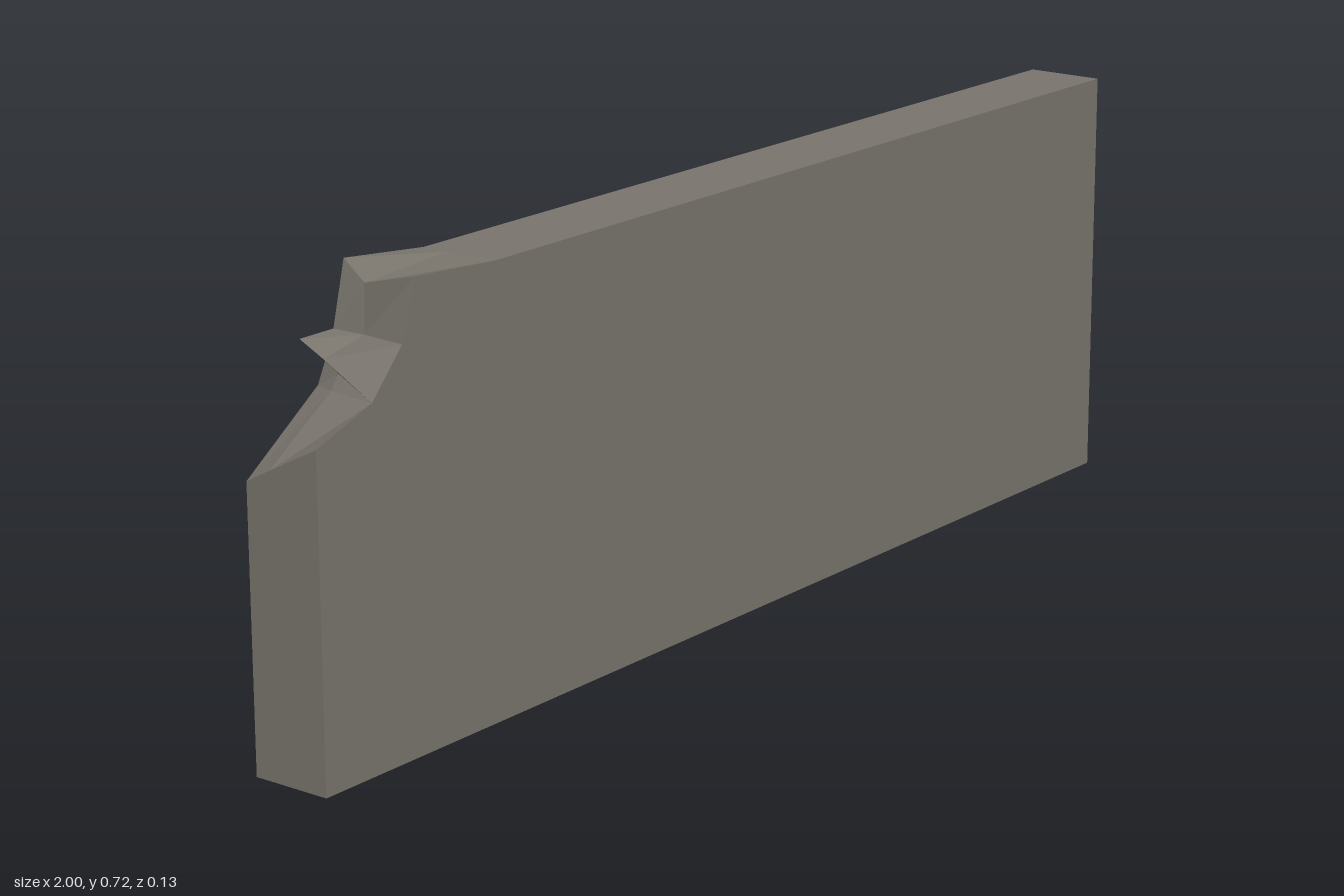
import * as THREE from 'three';

const DEPTH = 0.067;

// Outline over the top of the slab, from the bottom of the broken end to the intact end
const outline = (chip) => [[-1, 0], ...chip, [-0.62, 0.7], [1, 0.7], [1, 0]];

const frontLine = outline([
  [-1, 0.51], [-0.885, 0.55], [-0.885, 0.55], [-0.885, 0.55], [-0.82, 0.62], [-0.79, 0.712],
]);
const middleLine = outline([
  [-1, 0.464], [-0.872, 0.549], [-0.855, 0.57], [-0.885, 0.598], [-0.8, 0.615], [-0.797, 0.69],
]);
const backLine = outline([
  [-1, 0.44], [-0.85, 0.545], [-0.83, 0.585], [-0.885, 0.62], [-0.815, 0.62], [-0.79, 0.718],
]);

// Flat side face from an outline
function sideFace(line, flip) {
  const shape = new THREE.Shape(line.map(([x, y]) => new THREE.Vector2(x * flip, y)));
  const geometry = new THREE.ShapeGeometry(shape);
  if (flip < 0) geometry.rotateY(Math.PI);
  return geometry.translate(0, 0, DEPTH * flip);
}

// Faceted band joining the outlines across the thickness
function rimBand(rows) {
  const positions = [];
  for (let r = 0; r < rows.length - 1; r++) {
    const [near, far] = [rows[r], rows[r + 1]];
    const point = (row, i) => [...row.line[i], row.z];
    for (let i = 0; i < near.line.length - 1; i++) {
      const a = point(near, i), b = point(near, i + 1);
      const c = point(far, i + 1), d = point(far, i);
      positions.push(...a, ...b, ...d, ...b, ...c, ...d);
    }
  }
  const geometry = new THREE.BufferGeometry();
  geometry.setAttribute('position', new THREE.Float32BufferAttribute(positions, 3));
  geometry.computeVertexNormals();
  return geometry;
}

export function createModel() {
  const stone = new THREE.MeshStandardMaterial({ color: 0x78746c });
  stone.name = 'stone';
  stone.side = THREE.DoubleSide;
  stone.flatShading = true;

  const group = new THREE.Group();
  group.name = 'brokenWall';
  const add = (name, geometry) => {
    const mesh = new THREE.Mesh(geometry, stone);
    mesh.name = name;
    group.add(mesh);
  };

  // Large faces
  add('frontFace', sideFace(frontLine, 1));
  add('backFace', sideFace(backLine, -1));

  // Ends, top and chipped corner; the underside is open
  add('topAndEnds', rimBand([
    { line: frontLine, z: DEPTH },
    { line: middleLine, z: -0.022 },
    { line: backLine, z: -DEPTH },
  ]));
  return group;
}
